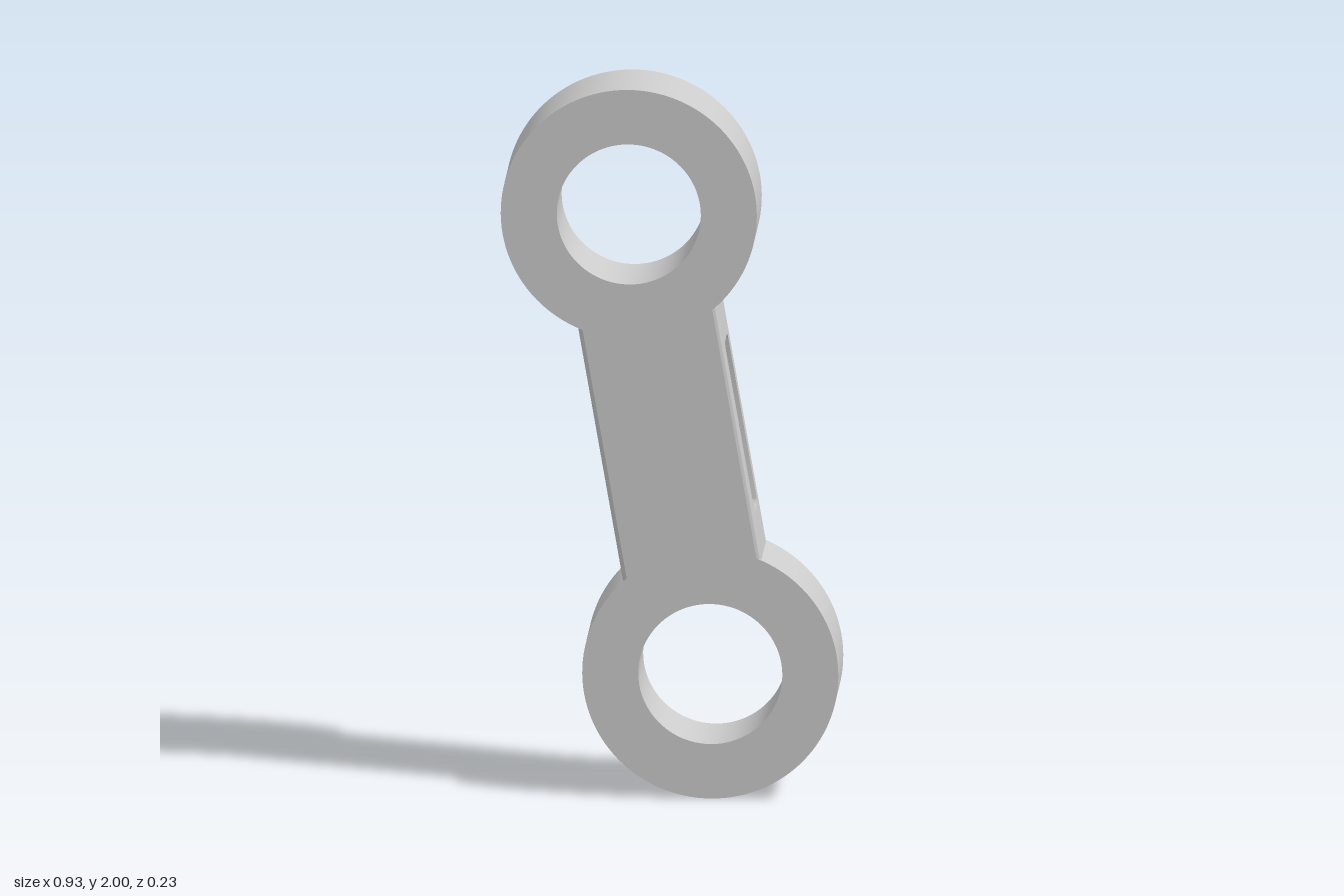
import * as THREE from 'three';
import { toCreasedNormals } from 'three/addons/utils/BufferGeometryUtils.js';

const R = 0.352, HOLE = 0.198;        // end ring radii
const L = 0.6577;                     // ring centre to middle of the link
const D = 0.117;                      // half thickness
const W = 0.193, F = 0.012;           // half bar width, edge fillet
const SLOT_Y = 0.245, SLOT_Z = 0.062, SLOT_R = 0.022;
const SEG = 96;
const TILT = Math.atan2(0.112, 0.648);

const material = new THREE.MeshStandardMaterial({ color: 0xcccccc, side: THREE.DoubleSide });
const ringMeet = x => L - Math.sqrt(R * R - x * x);   // where the bar runs into a ring

function add(parent, name, geometry) {
  const mesh = new THREE.Mesh(geometry, material);
  mesh.name = name;
  parent.add(mesh);
  return mesh;
}

// Surface between two matching polylines
function ruled(a, b) {
  const pos = [], index = [];
  a.forEach((p, i) => {
    pos.push(...p, ...b[i]);
    const k = 2 * i;
    if (i < a.length - 1) index.push(k, k + 2, k + 1, k + 1, k + 2, k + 3);
  });
  const g = new THREE.BufferGeometry();
  g.setAttribute('position', new THREE.Float32BufferAttribute(pos, 3));
  g.setIndex(index);
  return toCreasedNormals(g, 0.6);
}

function slotPath() {
  const p = new THREE.Path(), x = SLOT_Z - SLOT_R, y = SLOT_Y - SLOT_R, q = Math.PI / 2;
  [[x, y], [-x, y], [-x, -y], [x, -y]].forEach(([cx, cy], i) =>
    p.absarc(cx, cy, SLOT_R, i * q, (i + 1) * q, false));
  p.closePath();
  return p;
}

export function createModel() {
  const model = new THREE.Group();
  model.name = 'link';
  const arm = new THREE.Group();
  arm.name = 'tiltedArm';
  arm.rotation.z = TILT;
  arm.position.y = 1;
  model.add(arm);

  // Flat faces: two discs joined by the bar, with round holes
  const open = Math.asin((W - F) / R), h = Math.PI / 2;
  const outline = new THREE.Shape();
  outline.absarc(0, L, R, -h + open, 3 * h - open, false);
  outline.absarc(0, -L, R, h + open, 5 * h - open, false);
  outline.closePath();
  for (const y of [L, -L])
    outline.holes.push(new THREE.Path().absarc(0, y, HOLE, 0, Math.PI * 2, true));
  const face = new THREE.ShapeGeometry(outline, SEG / 2);
  add(arm, 'frontFace', face).position.z = D;
  const back = add(arm, 'backFace', face.clone().rotateY(Math.PI));
  back.position.z = -D;

  // The two halves are half-turns of each other
  for (const [i, ring, side] of [[0, 'upperRing', 'left'], [1, 'lowerRing', 'right']]) {
    const half = new THREE.Group();
    half.name = ring + 'Half';
    half.rotation.z = i * Math.PI;
    arm.add(half);

    // Ring walls, the outer one open where the bar joins
    add(half, ring + 'Rim', new THREE.CylinderGeometry(R, R, 2 * D, SEG, 1, true,
      open, 2 * Math.PI - 2 * open).rotateX(h)).position.y = L;
    add(half, ring + 'Bore', new THREE.CylinderGeometry(HOLE, HOLE, 2 * D, SEG, 1, true)
      .rotateX(h)).position.y = L;

    // Slotted side plate of the bar
    const y = ringMeet(W), z = D - F;
    const plate = new THREE.Shape([[-z, -y], [z, -y], [z, y], [-z, y]]
      .map(p => new THREE.Vector2(...p)));
    plate.holes.push(slotPath());
    add(half, side + 'BarSide', new THREE.ShapeGeometry(plate, 6).rotateY(h)).position.x = W;

    // Rounded long edges of the bar
    for (const s of [1, -1]) {
      const low = [], high = [];
      for (let k = 0; k <= 6; k++) {
        const t = k / 6 * h, x = W - F + F * Math.sin(t);
        const pz = s * (D - F + F * Math.cos(t));
        low.push([x, -ringMeet(x), pz]);
        high.push([x, ringMeet(x), pz]);
      }
      add(half, side + (s > 0 ? 'Front' : 'Back') + 'BarEdge',
        s > 0 ? ruled(low, high) : ruled(high, low));
    }
  }

  // Slot walls running sideways through the bar
  const loop = slotPath().getPoints(6);
  add(arm, 'slotWalls', ruled(loop.map(p => [-W, p.y, -p.x]), loop.map(p => [W, p.y, -p.x])));

  return model;
}
